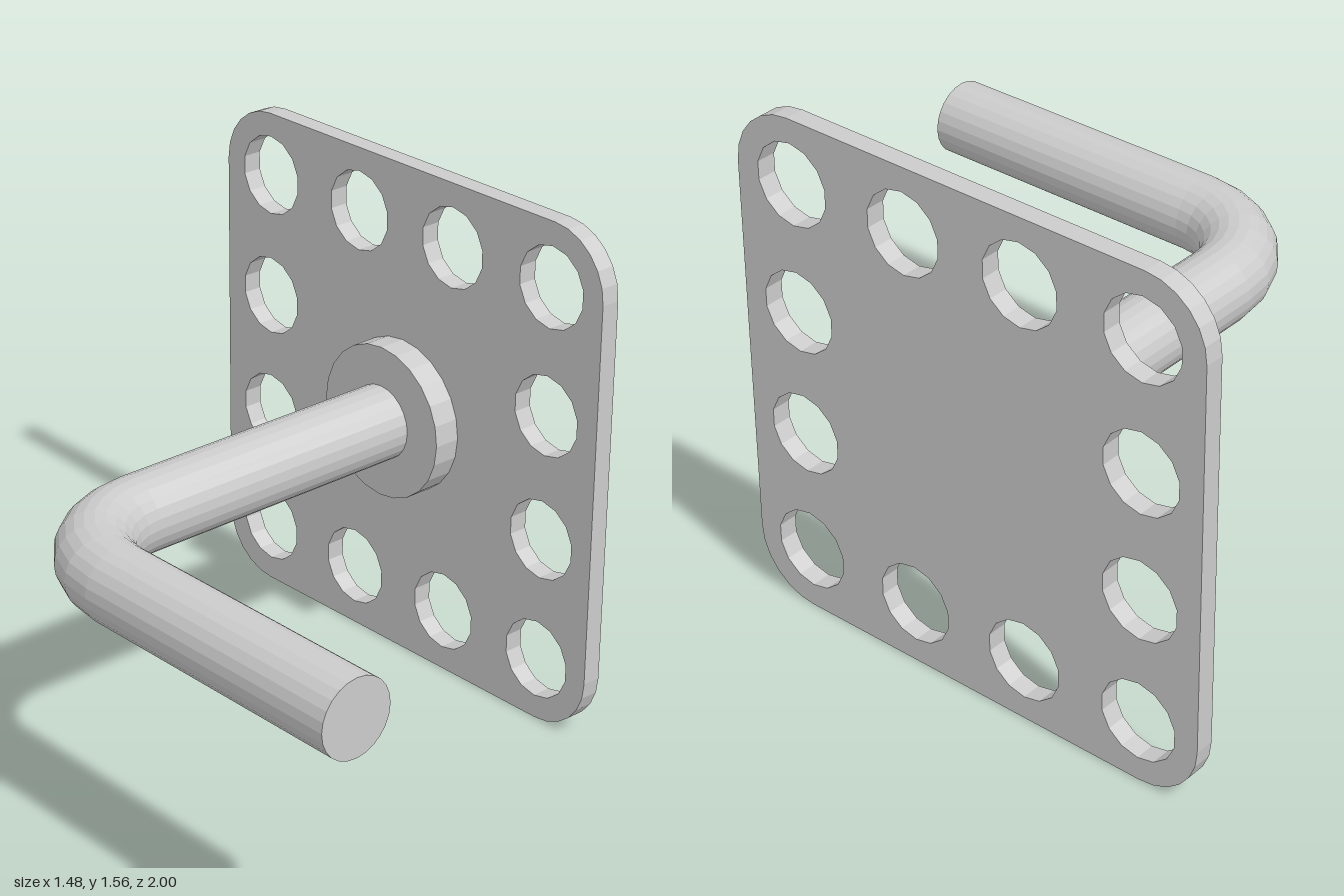
import * as THREE from 'three';

const SIDES = 24, ROD_R = 0.115, BEND_R = 0.29;
const AXIS_Y = 0.78, ARM_Z = -0.22, HANDLE_X = -0.625;

export function createModel() {
  const group = new THREE.Group();
  const material = new THREE.MeshStandardMaterial({ color: 0xcccccc, flatShading: true });
  const add = (name, geometry, x, y, z) => {
    const mesh = new THREE.Mesh(geometry, material);
    mesh.name = name;
    mesh.position.set(x, y, z);
    group.add(mesh);
  };

  // Mounting plate: square with rounded corners and a border of holes
  const half = 0.78, r = 0.19, c = half - r;
  const plate = new THREE.Shape();
  [[c, c], [-c, c], [-c, -c], [c, -c]].forEach(([x, y], i) =>
    plate.absarc(x, y, r, i * Math.PI / 2, (i + 1) * Math.PI / 2, false));
  const pitch = 0.39, holeR = 0.123, holeSides = 14;
  for (let i = 0; i < 4; i++) {
    for (let j = 0; j < 4; j++) {
      if (i % 3 && j % 3) continue; // the middle stays solid
      const points = [];
      for (let k = 0; k < holeSides; k++) {
        const a = Math.PI / 2 - k / holeSides * Math.PI * 2;
        points.push(new THREE.Vector2(
          (i - 1.5) * pitch + holeR * Math.cos(a), (j - 1.5) * pitch + holeR * Math.sin(a)));
      }
      plate.holes.push(new THREE.Path(points));
    }
  }
  add('mountingPlate',
    new THREE.ExtrudeGeometry(plate, { depth: 0.06, bevelEnabled: false, curveSegments: 3 })
      .rotateY(Math.PI / 2), 0.68, half, ARM_Z);

  // Round flange between plate and arm
  add('flange', new THREE.CylinderGeometry(0.238, 0.238, 0.086, SIDES).rotateZ(Math.PI / 2),
    0.638, AXIS_Y, ARM_Z);

  // Bent rod: arm, quarter bend, handle
  const bendX = HANDLE_X + BEND_R, bendZ = ARM_Z + BEND_R;
  const armEnd = 0.6, handleEnd = 1;
  add('arm',
    new THREE.CylinderGeometry(ROD_R, ROD_R, armEnd - bendX, SIDES, 1, true).rotateZ(Math.PI / 2),
    (armEnd + bendX) / 2, AXIS_Y, ARM_Z);
  add('bend',
    new THREE.TorusGeometry(BEND_R, ROD_R, SIDES, 6, Math.PI / 2)
      .rotateZ(Math.PI).rotateX(Math.PI / 2),
    bendX, AXIS_Y, bendZ);
  add('handle',
    new THREE.CylinderGeometry(ROD_R, ROD_R, handleEnd - bendZ, SIDES).rotateX(Math.PI / 2),
    HANDLE_X, AXIS_Y, (handleEnd + bendZ) / 2);

  return group;
}
